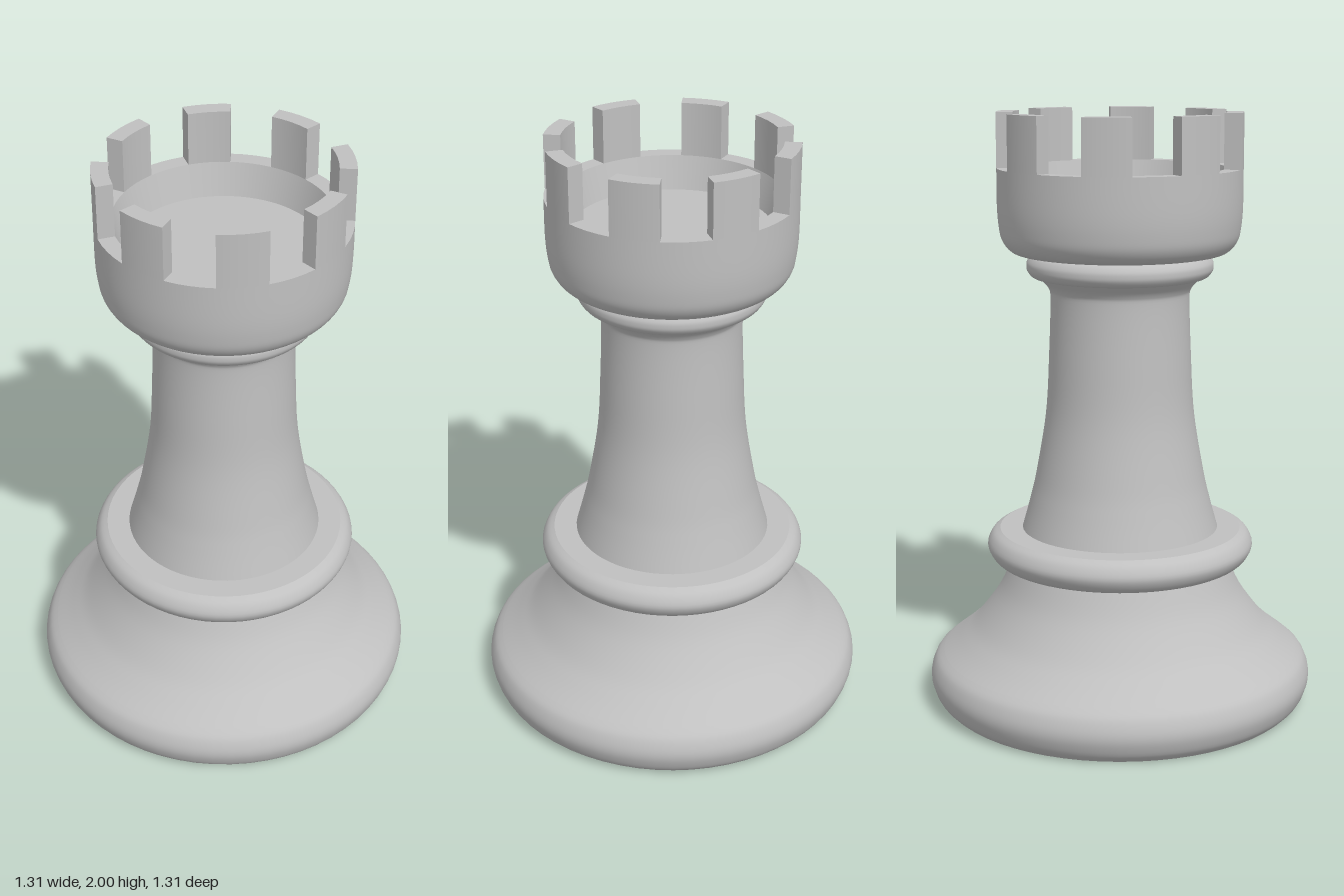
import * as THREE from 'three';

const SEGMENTS = 64;

export function createModel() {
  const rook = new THREE.Group();
  rook.name = 'rook';
  const stone = new THREE.MeshStandardMaterial({ color: 0xc0c0c0, side: THREE.DoubleSide });
  stone.name = 'plain grey';

  const add = (name, geometry, parent = rook) => {
    const mesh = new THREE.Mesh(geometry, stone);
    mesh.name = name;
    parent.add(mesh);
    return mesh;
  };

  // Smooth surface of revolution; separate calls leave a crease between them
  const turn = (name, pts, samples = 0, parent = rook, start = 0, sweep = Math.PI * 2) => {
    let profile = pts.map(([r, y]) => new THREE.Vector2(r, y));
    if (samples) profile = new THREE.SplineCurve(profile).getPoints(samples);
    const steps = Math.round(SEGMENTS * sweep / (Math.PI * 2));
    return add(name, new THREE.LatheGeometry(profile, steps, start, sweep), parent);
  };

  // Hollow foot, open underneath
  turn('footRim', [[0.61, 0], [0.635, 0.025], [0.65, 0.06], [0.655, 0.09],
    [0.65, 0.12], [0.635, 0.152], [0.61, 0.175]], 20);
  turn('footFlare', [[0.61, 0.175], [0.55, 0.222], [0.49, 0.28], [0.415, 0.385], [0.368, 0.49]], 20);

  // Lower ring with a flat top
  turn('lowerRing', [[0.368, 0.49], [0.41, 0.492], [0.437, 0.51], [0.453, 0.547],
    [0.437, 0.584], [0.41, 0.602]], 20);
  turn('lowerRingTop', [[0.41, 0.602], [0.333, 0.602]]);

  // Tapering shaft, flaring out below the collar
  turn('shaft', [[0.333, 0.602], [0.306, 0.7], [0.283, 0.8], [0.25, 1], [0.238, 1.2],
    [0.232, 1.38], [0.239, 1.425], [0.27, 1.46]], 40);
  turn('collar', [[0.27, 1.46], [0.293, 1.464], [0.308, 1.482], [0.311, 1.498],
    [0.308, 1.514], [0.293, 1.532], [0.27, 1.536]], 20);

  // Cup of the crown: outside, tapered inside wall and floor
  turn('crownBase', [[0.25, 1.538], [0.33, 1.54], [0.365, 1.552], [0.39, 1.585],
    [0.4, 1.63], [0.405, 1.7], [0.405, 1.82]], 30);
  turn('crownLedge', [[0.405, 1.82], [0.35, 1.82]]);
  turn('crownInnerWall', [[0.35, 1.82], [0.32, 1.71]]);
  const floor = add('crownFloor', new THREE.CircleGeometry(0.32, SEGMENTS));
  floor.rotation.x = -Math.PI / 2;
  floor.position.y = 1.71;

  // Eight battlements around the rim
  const width = Math.PI / 8;
  for (let i = 0; i < 8; i++) {
    const block = new THREE.Group();
    block.name = 'battlement';
    block.rotation.y = i * Math.PI / 4;
    rook.add(block);
    const wall = (name, pts) => turn(name, pts, 0, block, 0, width);
    wall('battlementOuter', [[0.405, 1.82], [0.405, 2]]);
    wall('battlementTop', [[0.405, 2], [0.35, 2]]);
    wall('battlementInner', [[0.35, 2], [0.35, 1.82]]);
    for (const [angle, turnY] of [[0, -Math.PI / 2], [width, width + Math.PI / 2]]) {
      const end = add('battlementEnd', new THREE.PlaneGeometry(0.055, 0.18), block);
      end.position.set(0.3775 * Math.sin(angle), 1.91, 0.3775 * Math.cos(angle));
      end.rotation.y = turnY;
    }
  }

  return rook;
}
